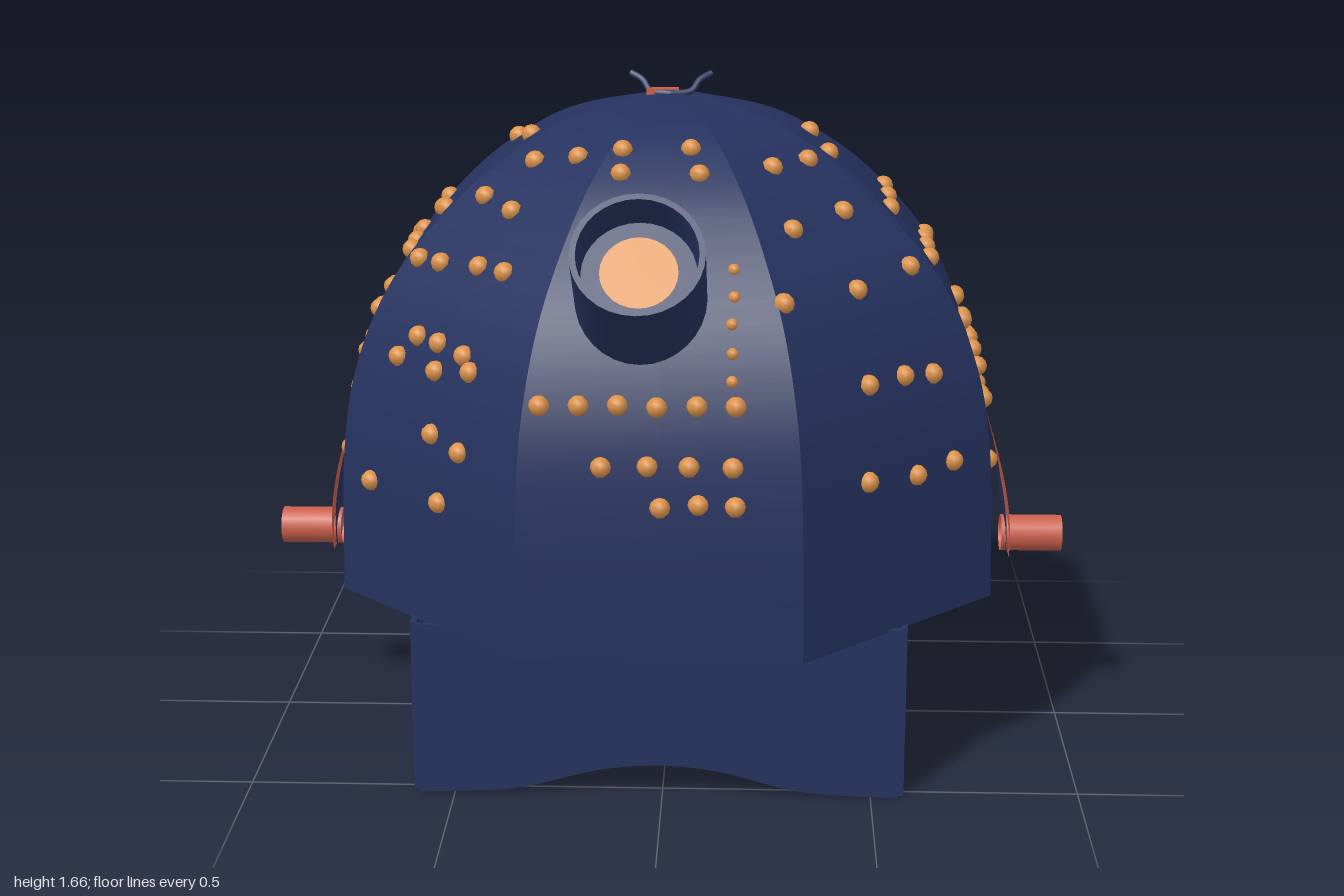
import * as THREE from 'three';
import { mergeGeometries } from 'three/addons/utils/BufferGeometryUtils.js';

const mat = (name, color) => {
  const m = new THREE.MeshStandardMaterial({ color, side: THREE.DoubleSide });
  m.name = name;
  return m;
};

const TAN = Math.tan(Math.PI / 8);
const CZ = -0.05; // dome axis

// Dome profile: distance from the axis to the middle of a panel, by height
const PROFILE = new THREE.CatmullRomCurve3(
  [[0.795, 0.43], [0.782, 0.8], [0.747, 1.0], [0.66, 1.2], [0.49, 1.4], [0.36, 1.5], [0.25, 1.56], [0.1, 1.6], [0, 1.61]]
    .map(([a, y]) => new THREE.Vector3(a, y, 0))
).getPoints(40);

function apothem(y) {
  const i = PROFILE.findIndex(p => p.y >= y);
  const p = PROFILE[i - 1], q = PROFILE[i];
  return p.x + (q.x - p.x) * (y - p.y) / (q.y - p.y);
}

// One curved gore of the octagonal dome, facing +z
function domePanel() {
  const n = PROFILE.length - 1;
  const g = new THREE.PlaneGeometry(2, 1, 2, n);
  const pos = g.attributes.position;
  for (let i = 0; i < pos.count; i++) {
    const p = PROFILE[n - Math.floor(i / 3)];
    pos.setXYZ(i, pos.getX(i) * p.x * TAN, p.y, p.x);
  }
  g.computeVertexNormals();
  return g;
}

// Skirt wall with an arched lower edge, outer face at z = 0.59
function skirtWall() {
  const s = new THREE.Shape();
  s.moveTo(-0.575, 0.435);
  s.lineTo(-0.575, 0.005);
  s.lineTo(-0.4, 0.012);
  s.bezierCurveTo(-0.25, 0.02, -0.2, 0.08, 0, 0.082);
  s.bezierCurveTo(0.2, 0.08, 0.25, 0.02, 0.4, 0.012);
  s.lineTo(0.575, 0.005);
  s.lineTo(0.575, 0.435);
  return new THREE.ExtrudeGeometry(s, { depth: 0.015, bevelEnabled: false, curveSegments: 10 })
    .translate(0, 0, 0.575);
}

// Teardrop plate bent outward toward its lower end, facing +x
function teardrop(bottom, top, half, offset) {
  const g = new THREE.PlaneGeometry(2, 1, 4, 24);
  const pos = g.attributes.position;
  for (let i = 0; i < pos.count; i++) {
    const t = pos.getY(i) + 0.5;
    const y = bottom + (top - bottom) * t;
    const w = t > 0.7 ? half * Math.sqrt(Math.max(0, 1 - ((t - 0.7) / 0.3) ** 2))
      : half * (0.45 + 0.55 * Math.sin(t / 0.7 * Math.PI / 2));
    const bend = THREE.MathUtils.clamp((0.87 - y) / 0.42, 0, 1);
    pos.setXYZ(i, 0.772 + 0.085 * Math.sin(bend * Math.PI / 2) + offset, y, -pos.getX(i) * w - 0.04);
  }
  g.computeVertexNormals();
  return g;
}

// Stud rows on a panel: height, first and last position across it, count
const FRONT = [[1.53, -0.1, 0.06, 2], [1.48, -0.1, 0.08, 2], [1.02, -0.27, 0.17, 6], [0.89, -0.13, 0.17, 4], [0.8, 0, 0.17, 3]];
const FRONT_LEFT = [[1.5, -0.03, 0.08, 2], [1.37, -0.1, 0.09, 2], [1.24, -0.24, 0.19, 3], [1.03, -0.05, 0.14, 3], [0.81, -0.09, 0.18, 3]];
const FRONT_RIGHT = [[1.5, -0.05, 0.06, 2], [1.4, -0.13, 0, 2], [1.26, -0.23, 0.1, 4], [1.1, -0.12, 0.08, 3],
  [1.04, -0.16, 0.1, 3], [0.88, 0, 0.12, 2], [0.74, -0.2, 0.05, 2]];
const SIDE = [[1.5, -0.1, 0.05, 2], [1.34, -0.13, 0.15, 3], [1.24, -0.17, 0.16, 4], [1.09, -0.2, 0.13, 4],
  [0.99, -0.24, 0.11, 4], [0.89, -0.23, 0.13, 4], [0.75, -0.23, 0.2, 2]];
const BACK_CORNER = [[1.42, -0.1, 0.08, 2], [1.25, -0.15, 0.1, 3], [1.12, -0.19, 0.14, 3], [0.98, -0.08, 0.15, 3],
  [0.9, -0.11, 0.15, 3], [0.83, -0.11, 0.18, 3], [0.68, -0.23, 0.11, 3]];
const BACK = [...SIDE, [0.68, -0.12, 0.1, 3]];
// Line of tiny studs below the eyepiece
const COLUMN = Array.from({ length: 5 }, (_, i) => [1.08 + i * 0.055, 0.165, 0.165, 1]);

function makeRandom(seed) {
  return () => (seed = (seed * 16807) % 2147483647) / 2147483647;
}

// Merged spheres on the panel that is turned by eighths around the dome
function studs(turn, rows, radius, jitter) {
  const random = makeRandom(101 + turn);
  const balls = [];
  for (const [rowY, from, to, count] of rows) {
    for (let i = 0; i < count; i++) {
      const y = rowY + (random() - 0.5) * jitter;
      const x = from + (to - from) * i / Math.max(1, count - 1) + (random() - 0.5) * jitter;
      balls.push(new THREE.SphereGeometry(radius, 8, 6).translate(x, y, apothem(y)));
    }
  }
  return mergeGeometries(balls).rotateY(turn * Math.PI / 4);
}

// Turned sections joined end to end, each with its own normals so edges stay sharp
function turned(points, segments) {
  const p = points.map(([r, y]) => new THREE.Vector2(r, y));
  return mergeGeometries(p.slice(1).map((q, i) => new THREE.LatheGeometry([p[i], q], segments)));
}

export function createModel() {
  const model = new THREE.Group();
  const navy = mat('navy', 0x25325f);
  const orange = mat('orange', 0xdc9249);
  const red = mat('coral red', 0xca604c);
  const add = (name, geometry, material, parent = model) => {
    const mesh = new THREE.Mesh(geometry, material);
    mesh.name = name;
    parent.add(mesh);
    return mesh;
  };
  const addGroup = name => {
    const group = new THREE.Group();
    group.name = name;
    model.add(group);
    return group;
  };

  // Octagonal dome and its flat underside
  const dome = addGroup('dome');
  dome.position.z = CZ;
  const panel = domePanel();
  for (let i = 0; i < 8; i++) add('domePanel', panel, navy, dome).rotation.y = i * Math.PI / 4;
  const floor = new THREE.CircleGeometry(0.795 / Math.cos(Math.PI / 8), 8, Math.PI / 8).rotateX(Math.PI / 2);
  add('domeUnderside', floor, navy, dome).position.y = 0.43;

  // Studs over the dome
  add('frontStuds', studs(0, FRONT, 0.024, 0.008), orange, dome);
  add('smallStuds', studs(0, COLUMN, 0.014, 0.01), orange, dome);
  [FRONT_LEFT, SIDE, BACK_CORNER, BACK, BACK_CORNER, SIDE, FRONT_RIGHT].forEach((rows, i) =>
    add('studs', studs(i + 1, rows, 0.025, 0.035), orange, dome));

  // Square skirt
  const skirt = addGroup('skirt');
  skirt.position.set(-0.01, 0, CZ);
  const wall = skirtWall();
  for (let i = 0; i < 4; i++) add('skirtWall', wall, navy, skirt).rotation.y = i * Math.PI / 2;

  // Hollow eyepiece tube, pointing up and forward
  const eyepiece = addGroup('eyepiece');
  eyepiece.position.set(-0.045, 1.385, 0.755);
  eyepiece.rotation.x = Math.atan2(0.77, 0.64);
  add('eyepieceTube', turned([[0.15, -0.42], [0.15, 0], [0.136, 0], [0.13, -0.1], [0, -0.1]], 32), navy, eyepiece);
  add('lens', new THREE.CircleGeometry(0.088, 28).rotateX(-Math.PI / 2), orange, eyepiece).position.y = -0.09;

  // Side flaps with hollow pegs, mirrored
  const peg = turned([[0.046, 0], [0.046, 0.155], [0.034, 0.155], [0.034, 0.02], [0, 0.02]], 20).rotateZ(-Math.PI / 2);
  for (const side of [1, -1]) {
    const flap = addGroup(side > 0 ? 'leftFlap' : 'rightFlap');
    flap.scale.x = side;
    add('flapBacking', teardrop(0.45, 0.87, 0.112, 0), navy, flap);
    add('flapPlate', teardrop(0.435, 0.805, 0.112, 0.008), red, flap);
    add('peg', peg, red, flap).position.set(0.845, 0.485, -0.04);
  }

  // Small knot with two curled ends on the crown
  for (const side of [1, -1]) {
    const curl = new THREE.CatmullRomCurve3([[0, 1.61, -0.05], [0.05, 1.615, -0.06], [0.07, 1.64, -0.075], [0.1, 1.655, -0.09]]
      .map(([x, y, z]) => new THREE.Vector3(x * side, y, z)));
    add('crownCurl', new THREE.TubeGeometry(curl, 12, 0.008, 6), navy);
  }
  add('crownKnot', new THREE.BoxGeometry(0.08, 0.018, 0.02), red).position.set(-0.02, 1.613, -0.06);
  return model;
}
